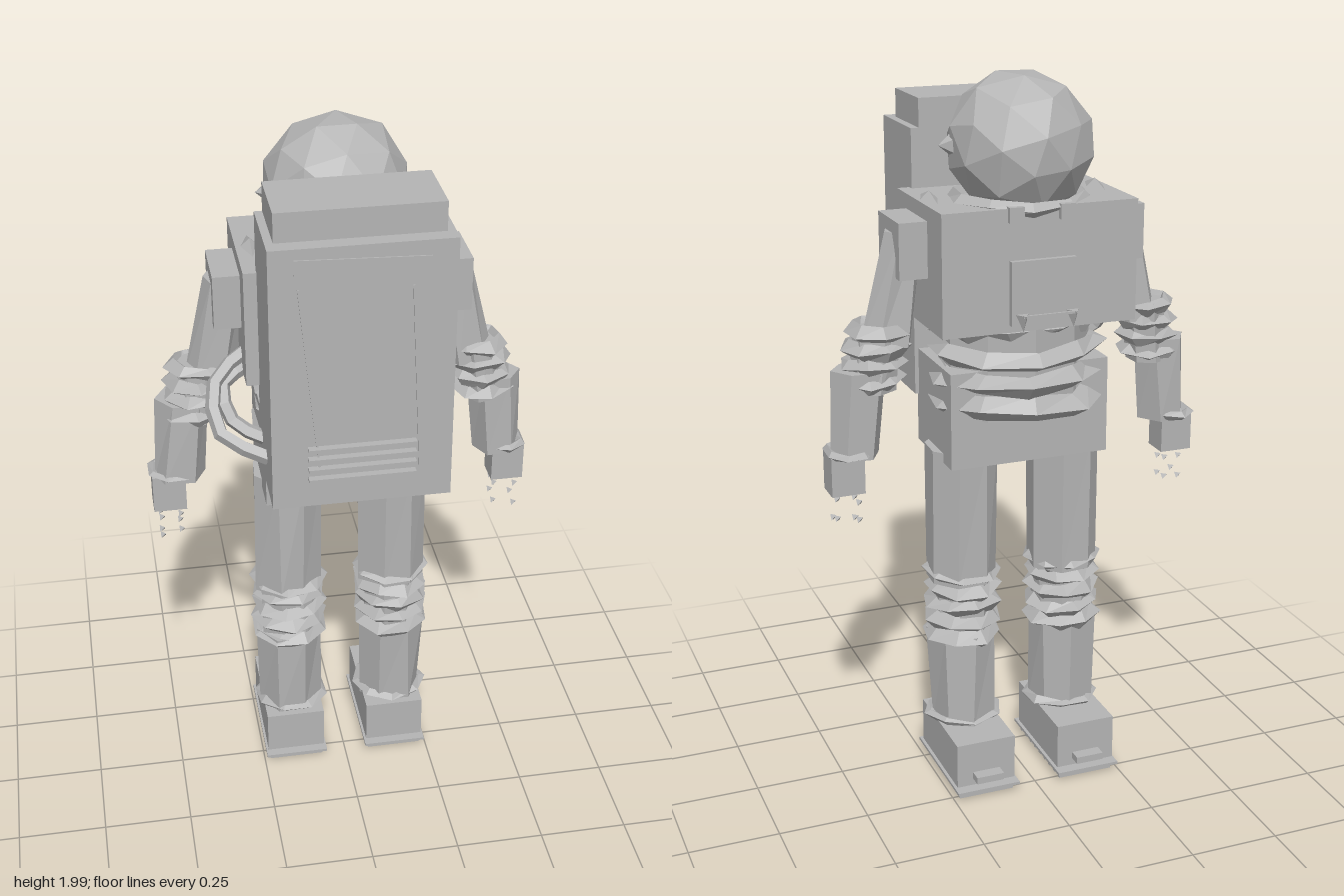
import * as THREE from 'three';

const suit = new THREE.MeshStandardMaterial({ color: 0xb4b4b4, flatShading: true, side: THREE.DoubleSide });
suit.name = 'suit grey';

let seed = 7;
const rand = () => (seed = (seed * 16807) % 2147483647) / 2147483647;

function add(parent, name, geometry, x = 0, y = 0, z = 0) {
  const m = new THREE.Mesh(geometry, suit);
  m.name = name;
  m.position.set(x, y, z);
  parent.add(m);
  return m;
}

// box given by its two corners
function block(parent, name, x0, x1, y0, y1, z0, z1) {
  return add(parent, name, new THREE.BoxGeometry(x1 - x0, y1 - y0, z1 - z0),
    (x0 + x1) / 2, (y0 + y1) / 2, (z0 + z1) / 2);
}

// moves corners that share a position by the same small random amount
function roughen(g, amount, amountY = amount) {
  const p = g.attributes.position, moved = new Map();
  for (let i = 0; i < p.count; i++) {
    const key = [p.getX(i), p.getY(i), p.getZ(i)].map(v => Math.round(v * 1e4)).join();
    if (!moved.has(key)) moved.set(key, [amount, amountY, amount].map(a => (rand() - 0.5) * 2 * a));
    const d = moved.get(key);
    p.setXYZ(i, p.getX(i) + d[0], p.getY(i) + d[1], p.getZ(i) + d[2]);
  }
  g.computeVertexNormals();
  return g;
}

// crumpled fabric ring lying flat, with outer radii rx and rz
function foldRing(parent, name, x, y, z, rx, rz, tube, sides = 8) {
  const g = new THREE.TorusGeometry(1 - tube / rx, tube / rx, 4, sides);
  g.rotateX(Math.PI / 2);
  g.rotateY(rand() * 3);
  g.scale(rx, rx * 0.8, rz);
  return add(parent, name, roughen(g, tube * 0.22, tube * 0.3), x, y, z);
}

// tapered limb between two centres
function limb(parent, name, a, b, ra, rb, sides, depth = 1) {
  const g = new THREE.CylinderGeometry(ra, rb, a[1] - b[1], sides);
  g.rotateY(Math.PI / sides);
  g.scale(1, 1, depth);
  const p = g.attributes.position;
  for (let i = 0; i < p.count; i++) {
    const t = p.getY(i) / (a[1] - b[1]);
    p.setX(i, p.getX(i) + t * (a[0] - b[0]));
    p.setZ(i, p.getZ(i) + t * (a[2] - b[2]));
  }
  return add(parent, name, roughen(g, 0.008, 0), (a[0] + b[0]) / 2, (a[1] + b[1]) / 2, (a[2] + b[2]) / 2);
}

function buildArm(s) {
  const arm = new THREE.Group();
  arm.name = s > 0 ? 'leftArm' : 'rightArm';
  const z = -0.075;
  block(arm, 'shoulderPad', s > 0 ? 0.25 : -0.345, s > 0 ? 0.345 : -0.25, 1.485, 1.635, -0.155, 0.015);
  limb(arm, 'upperArm', [s * 0.31, 1.6, z], [s * 0.36, 1.3, z], 0.055, 0.07, 6);
  limb(arm, 'elbowCore', [s * 0.385, 1.35, z], [s * 0.405, 1.18, z], 0.068, 0.068, 7);
  for (let i = 0; i < 4; i++)
    foldRing(arm, 'elbowFold', s * (0.383 + i * 0.007), 1.34 - i * 0.045, z, 0.095, 0.09, 0.026, 7);
  limb(arm, 'forearm', [s * 0.435, 1.24, z], [s * 0.455, 1.0, z], 0.073, 0.07, 6, 0.95);
  foldRing(arm, 'cuff', s * 0.475, 1.015, z - 0.005, 0.068, 0.085, 0.014, 7);
  block(arm, 'hand', s * 0.485 - 0.046, s * 0.485 + 0.046, 0.9, 1.01, -0.115, -0.035);
  // small loose finger joints and tips
  for (const y of [0.88, 0.82]) for (let i = 0; i < 4; i++)
    add(arm, 'fingerJoint', new THREE.TetrahedronGeometry(0.012),
      s * (0.455 + (i % 2) * 0.055), y + (rand() - 0.5) * 0.02, -0.105 + i * 0.022);
  return arm;
}

function buildLeg(s) {
  const leg = new THREE.Group();
  leg.name = s > 0 ? 'leftLeg' : 'rightLeg';
  const x = s * 0.152, z = -0.07;
  limb(leg, 'thigh', [x, 0.99, z], [x, 0.6, z], 0.105, 0.102, 8);
  limb(leg, 'kneeCore', [x, 0.62, z], [x, 0.42, z], 0.085, 0.085, 8);
  for (let i = 0; i < 5; i++)
    foldRing(leg, 'kneeFold', x, 0.62 - i * 0.047, z, 0.112, 0.114, 0.03);
  limb(leg, 'shin', [x, 0.44, z], [x, 0.15, z], 0.098, 0.093, 7);
  foldRing(leg, 'ankleFold', x, 0.175, z, 0.114, 0.105, 0.018);
  block(leg, 'boot', x - 0.086, x + 0.086, 0.035, 0.165, -0.26, 0.037);
  block(leg, 'sole', x - 0.092, x + 0.092, 0.022, 0.03, -0.285, 0.058);
  for (let i = 0; i < 9; i++)
    block(leg, 'tread', x - 0.08, x + 0.08, 0, 0.012, -0.262 + i * 0.036, -0.25 + i * 0.036);
  block(leg, 'toeTab', x - 0.04, x + 0.04, 0.055, 0.075, -0.295, -0.255);
  return leg;
}

export function createModel() {
  const model = new THREE.Group();
  model.name = 'spacesuit';

  // torso, waist folds and hips
  block(model, 'torso', -0.273, 0.268, 1.35, 1.675, -0.265, 0.088);
  const waist = new THREE.CylinderGeometry(0.21, 0.21, 0.28, 10);
  waist.scale(1, 1, 0.75);
  add(model, 'waistCore', waist, 0, 1.23, -0.08);
  for (let i = 0; i < 4; i++)
    foldRing(model, 'waistFold', 0, 1.335 - i * 0.068, -0.085, 0.245, i ? 0.225 : 0.16, 0.04, 10);
  block(model, 'hips', -0.228, 0.223, 0.963, 1.23, -0.195, 0.08);

  // helmet, ear cones and collar
  const shell = new THREE.IcosahedronGeometry(0.194, 1);
  shell.rotateZ(0.3);
  shell.rotateX(0.25);
  add(model, 'helmet', roughen(shell, 0.005), 0, 1.81, -0.118);
  foldRing(model, 'collar', 0, 1.672, -0.115, 0.2, 0.175, 0.025, 10);
  for (const s of [-1, 1]) {
    const ear = add(model, 'earCone', new THREE.ConeGeometry(0.042, 0.05, 5), s * 0.19, 1.815, -0.095);
    ear.rotation.z = -s * Math.PI / 2;
    const strap = new THREE.OctahedronGeometry(1);
    strap.scale(0.024, 0.022, 0.066);
    add(model, 'shoulderStrap', strap, s * 0.235, 1.675, -0.075);
    block(model, 'collarClip', s * 0.07 - 0.02, s * 0.07 + 0.02, 1.64, 1.68, -0.28, -0.255);
  }

  // chest control panel with a small hanging lever
  block(model, 'chestPanel', -0.095, 0.085, 1.37, 1.54, -0.28, -0.262);
  for (const x of [-0.075, 0.065]) {
    const lever = add(model, 'panelLever', new THREE.ConeGeometry(0.02, 0.045, 3), x, 1.385, -0.312);
    lever.rotation.x = Math.PI;
  }
  block(model, 'panelBar', -0.08, 0.07, 1.402, 1.408, -0.326, -0.319);

  // backpack
  block(model, 'backpack', -0.238, 0.234, 1.1, 1.835, 0.068, 0.305);
  block(model, 'backpackTop', -0.217, 0.212, 1.83, 1.913, 0.068, 0.263);
  const sliver = new THREE.Shape([[-0.175, 1.77], [0.165, 1.798], [-0.175, 1.81]].map(p => new THREE.Vector2(...p)));
  add(model, 'packTopSeam', new THREE.ExtrudeGeometry(sliver, { depth: 0.004, bevelEnabled: false }), 0, 0, 0.312);
  for (const [x0, y0, x1, y1] of [[-0.115, 1.73, -0.165, 1.22], [0.148, 1.72, 0.122, 1.2]]) {
    const seam = add(model, 'packSideSeam', new THREE.BoxGeometry(0.005, Math.hypot(x1 - x0, y1 - y0), 0.004),
      (x0 + x1) / 2, (y0 + y1) / 2, 0.31);
    seam.rotation.z = Math.atan2(x0 - x1, y0 - y1);
  }
  for (let i = 0; i < 4; i++)
    block(model, 'packVent', -0.145, 0.137, 1.184 + i * 0.03, 1.191 + i * 0.03, 0.306, 0.326);

  // air hoses looping from the chest to the backpack
  const hoses = [
    [[-0.25, 1.4, -0.03], [-0.35, 1.35, 0.04], [-0.352, 1.25, 0.15], [-0.23, 1.19, 0.195]],
    [[-0.25, 1.36, -0.02], [-0.33, 1.33, 0.03], [-0.31, 1.24, 0.08], [-0.23, 1.2, 0.11]],
  ];
  for (const points of hoses) {
    const path = new THREE.CatmullRomCurve3(points.map(p => new THREE.Vector3(...p)));
    add(model, 'airHose', new THREE.TubeGeometry(path, 6, 0.021, 5));
  }

  for (const s of [-1, 1]) model.add(buildArm(s), buildLeg(s));
  return model;
}
